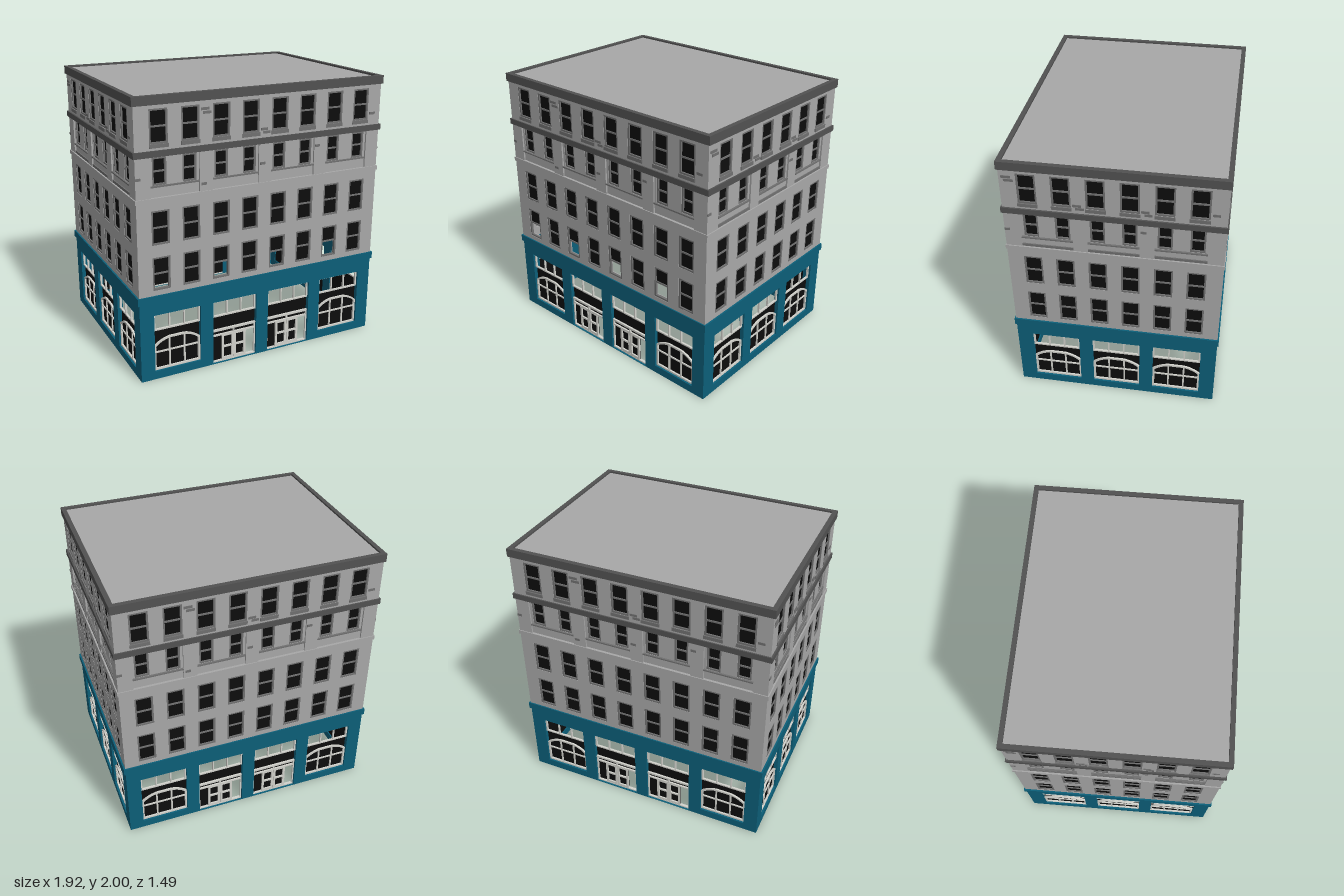
import * as THREE from 'three';

const mat = (name, color, side = THREE.FrontSide) => {
  const m = new THREE.MeshStandardMaterial({ color, side });
  m.name = name;
  return m;
};

export function createModel() {
  const stone = mat('stone', 0xa8a8a8), cornice = mat('cornice grey', 0x525252);
  const frameGrey = mat('frame grey', 0x707070), teal = mat('teal paint', 0x0c5f79);
  const trim = mat('pale trim', 0xd2d2cc), glass = mat('dark glass', 0x0d0d0d, THREE.DoubleSide);
  const HX = 0.95, HZ = 0.733, T = 0.04, BAY = 0.447, BW = 0.175;

  const add = (parent, name, geo, material, x = 0, y = 0, z = 0) => {
    const m = new THREE.Mesh(geo, material);
    m.name = name;
    m.position.set(x, y, z);
    parent.add(m);
    return m;
  };
  // box given by its edges in the facade plane and its front and back depth
  const bar = (p, name, x0, x1, y0, y1, z0, z1, m) =>
    add(p, name, new THREE.BoxGeometry(x1 - x0, y1 - y0, z1 - z0), m, (x0 + x1) / 2, (y0 + y1) / 2, (z0 + z1) / 2);
  const pane = (p, name, x0, x1, y0, y1, z) =>
    add(p, name, new THREE.PlaneGeometry(x1 - x0, y1 - y0), glass, (x0 + x1) / 2, (y0 + y1) / 2, z);
  const rect = (C, [x0, x1, y0, y1]) => {
    const s = new C();
    s.moveTo(x0, y0); s.lineTo(x1, y0); s.lineTo(x1, y1); s.lineTo(x0, y1); s.closePath();
    return s;
  };
  const plate = (outer, holes, depth) => {
    const s = rect(THREE.Shape, outer);
    holes.forEach(h => s.holes.push(rect(THREE.Path, h)));
    return new THREE.ExtrudeGeometry(s, { depth, bevelEnabled: false });
  };

  // two-sash window with a surrounding frame
  function sashWindow(p, x, w, y0, y1, z, open) {
    const g = new THREE.Group(), f = 0.012, m = (y0 + y1) / 2, h = w / 2;
    g.name = 'sashWindow';
    g.position.set(x, 0, z);
    p.add(g);
    add(g, 'windowFrame', plate([-h, h, y0, y1], [[-h + f, h - f, y0 + f, y1 - f]], 0.018), frameGrey, 0, 0, -0.02);
    bar(g, 'meetingRail', -h + f, h - f, m - 0.006, m + 0.006, -0.016, -0.006, frameGrey);
    pane(g, 'upperGlass', -h + f, h - f, m, y1 - f, -0.013);
    if (!open) pane(g, 'lowerGlass', -h + f, h - f, y0 + f, m, -0.013);
  }

  // three open lights above a shop bay
  function transom(p) {
    const holes = [-1, 0, 1].map(i => [i * 0.112 - 0.051, i * 0.112 + 0.051, 0.376, 0.481]);
    add(p, 'transomFrame', plate([-BW, BW, 0.365, 0.49], holes, 0.015), trim, 0, 0, -0.03);
  }

  function arch(C, i) {
    const s = new C(), w = BW - i, b = 0.06 + i, k = 0.25 - i * 0.6, t = 0.306 - i;
    s.moveTo(-w, b); s.lineTo(w, b); s.lineTo(w, k);
    s.quadraticCurveTo(0.12, t - 0.01, 0.055, t);
    s.lineTo(-0.055, t);
    s.quadraticCurveTo(-0.12, t - 0.01, -w, k);
    s.closePath();
    return s;
  }
  function shopWindow(p) {
    transom(p);
    pane(p, 'shopGlass', -BW, BW, 0.06, 0.365, -0.03);
    const s = arch(THREE.Shape, 0);
    s.holes.push(arch(THREE.Path, 0.014));
    add(p, 'archFrame', new THREE.ExtrudeGeometry(s, { depth: 0.014, bevelEnabled: false, curveSegments: 6 }), trim, 0, 0, -0.028);
    for (const x of [-0.057, 0.057]) bar(p, 'mullion', x - 0.006, x + 0.006, 0.07, 0.297, -0.027, -0.018, trim);
    bar(p, 'crossbar', -BW + 0.01, BW - 0.01, 0.191, 0.202, -0.027, -0.018, trim);
  }

  function entrance(p) {
    transom(p);
    pane(p, 'signBand', -BW, BW, 0.215, 0.365, -0.03);
    pane(p, 'doorGlass', -BW, 0.098, 0.003, 0.215, -0.03);
    bar(p, 'upperRail', -BW, BW, 0.248, 0.264, -0.029, -0.014, trim);
    bar(p, 'lowerRail', -BW, BW, 0.21, 0.222, -0.029, -0.016, trim);
    bar(p, 'railPost', -0.006, 0.006, 0.222, 0.248, -0.029, -0.016, trim);
    bar(p, 'threshold', -BW, BW, 0.003, 0.013, -0.035, -0.014, trim);
    for (const s of [-1, 1]) {
      const x = s * (BW - 0.005);
      bar(p, 'sidePost', x - 0.005, x + 0.005, 0.013, 0.248, -0.029, -0.016, trim);
      const holes = [[-0.031, 0.031, 0.03, 0.108], [-0.031, 0.031, 0.122, 0.2]];
      add(p, 'doorLeaf', plate([-0.048, 0.048, 0.013, 0.21], holes, 0.012), trim, s * 0.049, 0, -0.027);
    }
  }

  // one whole side of the building, outer face at local z = 0
  function facade(name, bays, half, wallHalf, doors, openSashes, bricks) {
    const g = new THREE.Group();
    g.name = name;
    const centres = Array.from({ length: bays }, (_, i) => (i - (bays - 1) / 2) * BAY);
    const isDoor = i => doors && i > 0 && i < bays - 1;
    add(g, 'shopfrontWall', plate([-wallHalf, wallHalf, 0, 0.6],
      centres.map((c, i) => [c - BW, c + BW, isDoor(i) ? 0.003 : 0.06, 0.49]), T), teal, 0, 0, -T);

    const floors = [[0.674, 0.913], [1.0, 1.24], [1.687, 1.915]], holes = [];
    centres.forEach((c, b) => {
      const bay = new THREE.Group();
      bay.name = isDoor(b) ? 'entranceBay' : 'shopBay';
      bay.position.x = c;
      g.add(bay);
      (isDoor(b) ? entrance : shopWindow)(bay);

      floors.forEach(([y0, y1], f) => [-1, 1].forEach((s, k) => {
        const x = c + s * 0.1115;
        holes.push([x - 0.064, x + 0.064, y0, y1]);
        sashWindow(g, x, 0.128, y0, y1, 0, openSashes && f === 0 && k === 0);
        if (f === 2) bar(g, 'windowSill', x - 0.067, x + 0.067, 1.662, 1.687, -0.01, 0.007, frameGrey);
      }));

      // recessed bay of the fourth storey
      holes.push([c - BW, c + BW, 1.328, 1.6]);
      const pair = [-0.107, 0.107].map(o => [o - 0.05, o + 0.05, 1.408, 1.597]);
      add(g, 'recessedPanel', plate([-BW, BW, 1.328, 1.6], pair, 0.024), stone, c, 0, -0.036);
      for (const o of [-0.107, 0.107]) sashWindow(g, c + o, 0.1, 1.408, 1.597, -0.013, false);
      bar(g, 'baySill', c - BW, c + BW, 1.398, 1.408, -0.013, 0.002, frameGrey);
      if (!doors) bar(g, 'panelBase', c - BW, c + BW, 1.328, 1.348, -0.013, -0.004, frameGrey);
    });
    add(g, 'upperWall', plate([-wallHalf, wallHalf, 0.6, 1.96], holes, T), stone, 0, 0, -T);

    // odd darker bricks
    bricks.forEach(([x, y, w]) => bar(g, 'darkBrick', Math.max(x - w, -half), Math.min(x + w, half), y - 0.009, y + 0.009, -0.002, 0.004, frameGrey));
    return g;
  }

  const model = new THREE.Group();
  model.name = 'cornerBuilding';
  const longBricks = [[-0.455, 1.885, 0.03], [-0.44, 1.86, 0.03], [-0.01, 1.705, 0.026], [0.01, 1.682, 0.026], [0.883, 1.73, 0.024],
    [-0.935, 1.465, 0.02], [-0.02, 1.465, 0.019], [0.422, 1.54, 0.019], [-0.465, 1.38, 0.019]];
  const sideBricks = [[-0.685, 1.885, 0.032], [-0.67, 1.86, 0.032], [-0.233, 1.705, 0.028], [-0.215, 1.682, 0.028], [0.21, 1.705, 0.026],
    [0.23, 1.682, 0.026], [0.66, 1.73, 0.024], [-0.715, 1.465, 0.018], [0.2, 1.54, 0.019]];
  for (const s of [1, -1]) {
    const long = facade(s > 0 ? 'frontFacade' : 'backFacade', 4, HX, HX, true, s > 0, longBricks);
    long.position.z = s * HZ;
    if (s < 0) long.rotation.y = Math.PI;
    const side = facade(s > 0 ? 'leftFacade' : 'rightFacade', 3, HZ, HZ - T, false, false, sideBricks);
    side.position.x = s * HX;
    side.rotation.y = s * Math.PI / 2;
    model.add(long, side);
  }

  // horizontal bands running round the building
  function band(name, out, inset, y0, y1, m) {
    const x = HX + out, z = HZ + out * 0.8;
    const geo = plate([-x, x, -z, z], [[-x + inset, x - inset, -z + inset, z - inset]], y1 - y0);
    add(model, name, geo.rotateX(-Math.PI / 2), m, 0, y0, 0);
  }
  band('shopfrontCornice', 0.012, 0.03, 0.585, 0.638, teal);
  band('stoneLedge', 0.008, 0.03, 1.297, 1.328, stone);
  band('middleCornice', 0.012, 0.03, 1.603, 1.645, cornice);
  band('roofParapet', 0.012, 0.033, 1.94, 2.0, cornice);
  add(model, 'roof', new THREE.BoxGeometry(1.87, 0.02, 1.43), stone, 0, 1.977, 0);
  return model;
}
